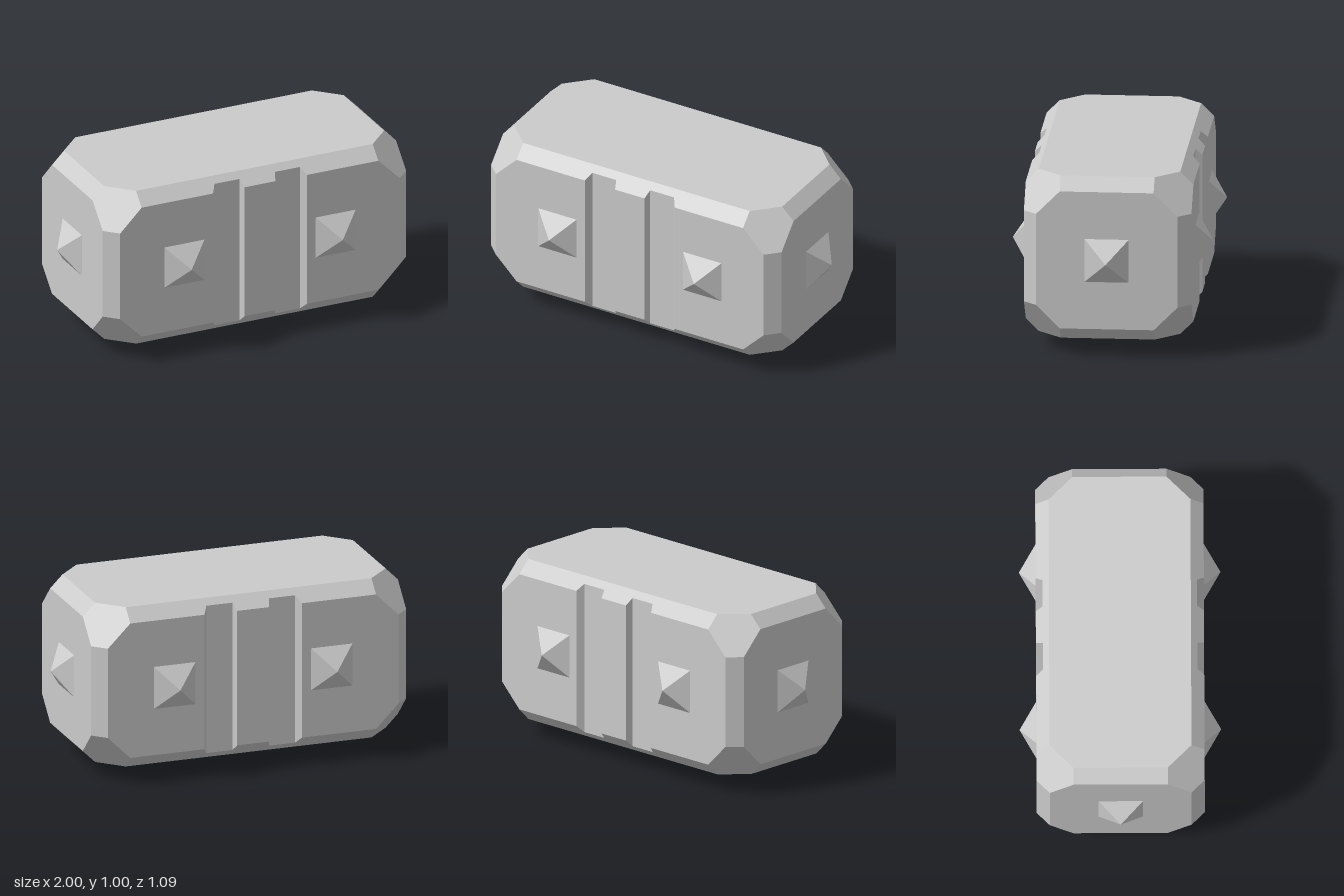
import * as THREE from 'three';

const MID_Y = 0.545;
const material = new THREE.MeshStandardMaterial({ color: 0xcccccc, flatShading: true });

// Loft of eight-sided sections along x.
// Section: [x, half depth, y at that depth, half height, z at that height]
function loftGeometry(sections) {
  const positions = [];
  const index = [];
  for (const [x, w, a, h, b] of sections) {
    const ring = [[h, b], [a, w], [-a, w], [-h, b], [-h, -b], [-a, -w], [a, -w], [h, -b]];
    for (const [y, z] of ring) positions.push(x, y, z);
  }
  const last = (sections.length - 1) * 8;
  for (let i = 0; i < last; i += 8) {
    for (let j = 0; j < 8; j++) {
      const k = (j + 1) % 8;
      index.push(i + j, i + k, i + 8 + k, i + j, i + 8 + k, i + 8 + j);
    }
  }
  // End caps
  for (let k = 1; k < 7; k++) {
    index.push(0, k + 1, k);
    index.push(last, last + k, last + k + 1);
  }
  const indexed = new THREE.BufferGeometry();
  indexed.setAttribute('position', new THREE.Float32BufferAttribute(positions, 3));
  indexed.setIndex(index);
  const geometry = indexed.toNonIndexed();
  geometry.computeVertexNormals();
  return geometry;
}

// Chamfered block with two vertical grooves on front and back
function createBody() {
  const full = [0.455, 0.384, 0.455, 0.384];
  const groove = [0.418, 0.421, 0.455, 0.384];
  const half = [
    [0.092, ...full],
    [0.106, ...groove],
    [0.256, ...groove],
    [0.281, ...full],
    [0.709, ...full],
    [0.838, 0.455, 0.255, 0.455, 0.255],
    [0.909, 0.384, 0.255, 0.384, 0.255],
  ];
  const mirrored = half.map(([x, ...rest]) => [-x, ...rest]).reverse();
  const body = new THREE.Mesh(loftGeometry([...mirrored, ...half]), material);
  body.name = 'body';
  body.position.y = MID_Y;
  return body;
}

// Square pyramid, base at the origin, pointing up
const spikeGeometry = new THREE.ConeGeometry(0.12 * Math.SQRT2, 0.091, 4)
  .rotateY(Math.PI / 4)
  .translate(0, 0.0455, 0);

function createSpike(name, position, direction) {
  const spike = new THREE.Mesh(spikeGeometry, material);
  spike.name = name;
  spike.position.set(...position);
  // Turn about x or z only, so the base stays square to the body
  spike.rotation.set(direction[2] * Math.PI / 2, 0, -direction[0] * Math.PI / 2);
  if (direction[1] < 0) spike.rotation.x = Math.PI;
  return spike;
}

export function createModel() {
  const model = new THREE.Group();
  model.name = 'spikedBlock';
  model.add(createBody());

  // Pairs on front, back and underside, one on each end
  for (const side of [1, -1]) {
    const label = side > 0 ? 'Left' : 'Right';
    const x = side * 0.453;
    model.add(
      createSpike(`frontSpike${label}`, [x, MID_Y, 0.455], [0, 0, 1]),
      createSpike(`backSpike${label}`, [x, MID_Y, -0.455], [0, 0, -1]),
      createSpike(`bottomSpike${label}`, [x, 0.091, 0], [0, -1, 0]),
      createSpike(`endSpike${label}`, [side * 0.909, MID_Y, 0], [side, 0, 0]),
    );
  }
  return model;
}
